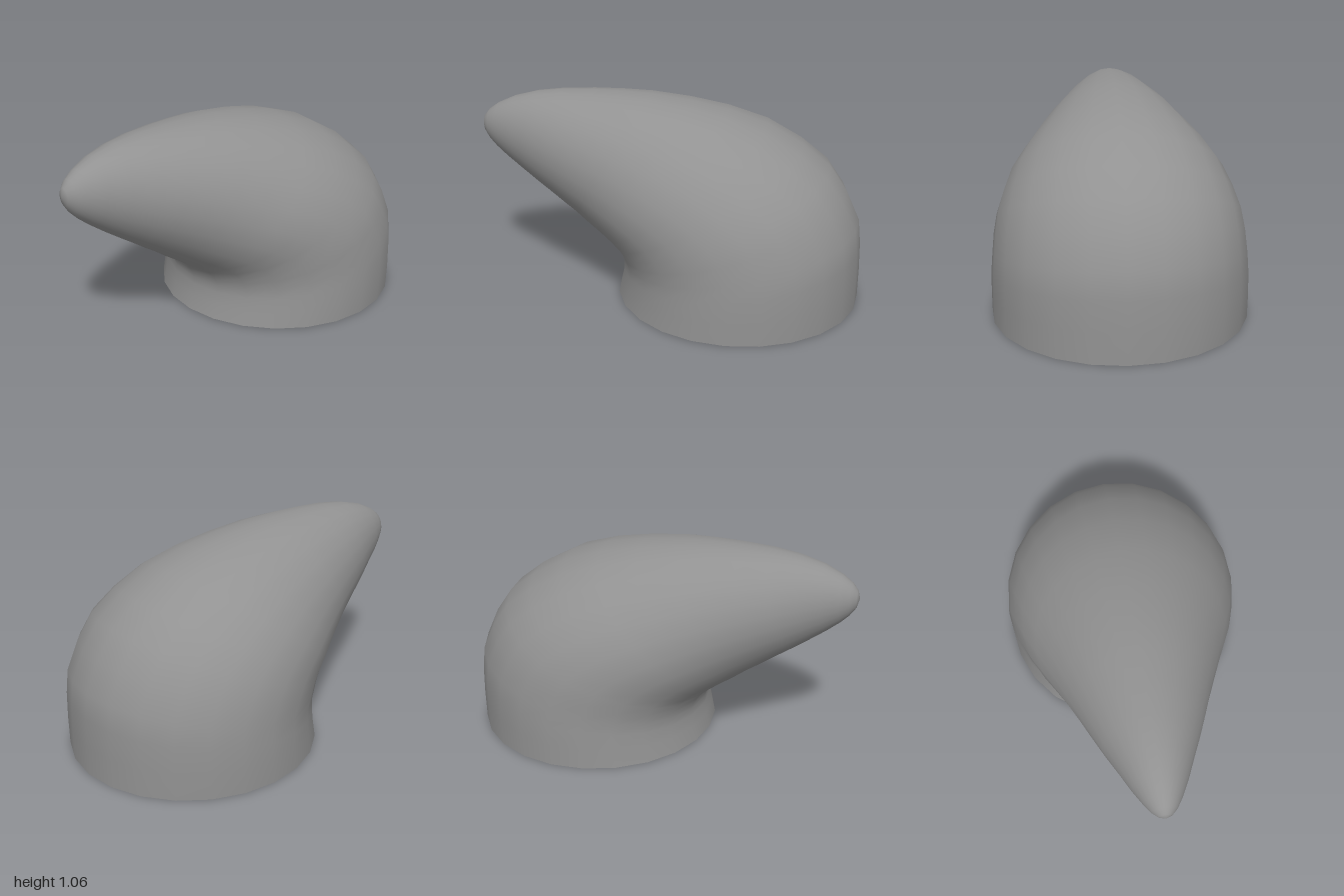
import * as THREE from 'three';

// Tilted oval sections from the open base to the beak tip:
// [front z, front y, back z, back y, half width]
const SECTIONS = [
  [0.27, 0, -1, 0, 0.635],
  [0.25, 0.08, -1, 0.15, 0.635],
  [0.24, 0.14, -0.995, 0.3, 0.632],
  [0.24, 0.18, -0.98, 0.43, 0.625],
  [0.25, 0.21, -0.91, 0.58, 0.618],
  [0.26, 0.235, -0.82, 0.71, 0.605],
  [0.28, 0.26, -0.68, 0.82, 0.58],
  [0.32, 0.295, -0.5, 0.92, 0.545],
  [0.37, 0.33, -0.3, 0.985, 0.49],
  [0.43, 0.37, -0.1, 1.025, 0.432],
  [0.49, 0.415, 0.1, 1.05, 0.377],
  [0.55, 0.455, 0.25, 1.057, 0.332],
  [0.62, 0.505, 0.4, 1.058, 0.287],
  [0.7, 0.56, 0.56, 1.053, 0.235],
  [0.78, 0.617, 0.7, 1.037, 0.182],
  [0.86, 0.677, 0.82, 1.007, 0.135],
  [0.92, 0.727, 0.91, 0.967, 0.093],
  [0.96, 0.768, 0.96, 0.932, 0.063],
  [0.988, 0.81, 0.988, 0.898, 0.033],
];
const TIP = [0, 0.86, 1];
const SIDES = 24;

// Joins the ovals into one smooth skin, closed at the tip
function loftHood() {
  const positions = [];
  const indices = [];
  for (const [fz, fy, bz, by, w] of SECTIONS) {
    for (let j = 0; j < SIDES; j++) {
      const a = (j / SIDES) * Math.PI * 2;
      const t = (1 - Math.cos(a)) / 2; // 0 at the front, 1 at the back
      positions.push(w * Math.sin(a), fy + (by - fy) * t, fz + (bz - fz) * t);
    }
  }
  const tip = positions.length / 3;
  positions.push(...TIP);

  for (let i = 0; i < SECTIONS.length; i++) {
    for (let j = 0; j < SIDES; j++) {
      const k = (j + 1) % SIDES;
      const a = i * SIDES + j;
      const b = i * SIDES + k;
      if (i === SECTIONS.length - 1) indices.push(a, b, tip);
      else indices.push(a, b, b + SIDES, a, b + SIDES, a + SIDES);
    }
  }
  const geometry = new THREE.BufferGeometry();
  geometry.setAttribute('position', new THREE.Float32BufferAttribute(positions, 3));
  geometry.setIndex(indices);
  geometry.computeVertexNormals();
  return geometry;
}

export function createModel() {
  const group = new THREE.Group();
  group.name = 'beakedHood';
  // Thin dark grey shell, open underneath
  const material = new THREE.MeshStandardMaterial({ color: 0x929292, side: THREE.DoubleSide });
  const hood = new THREE.Mesh(loftHood(), material);
  hood.name = 'hoodShell';
  group.add(hood);
  return group;
}
